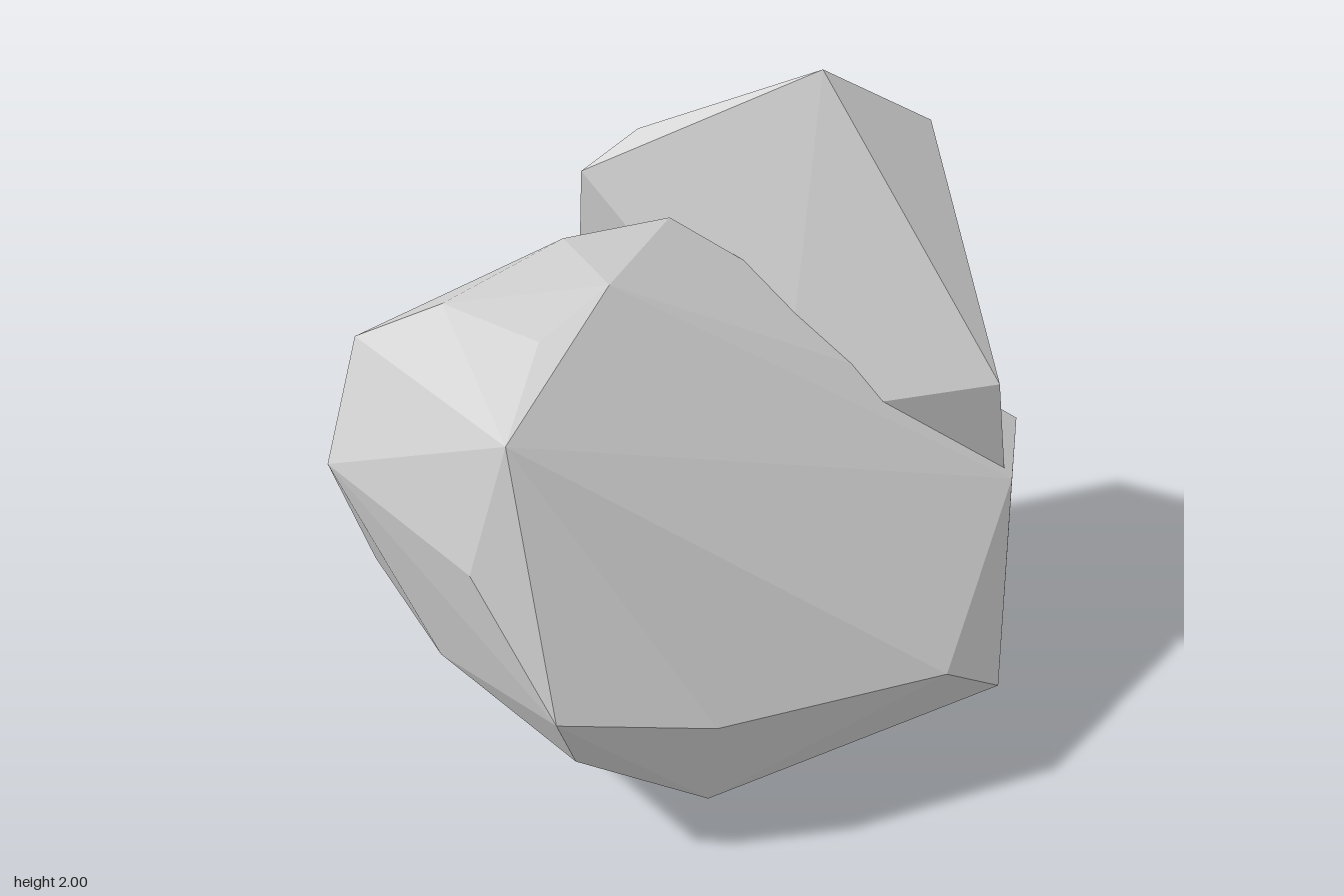
import * as THREE from 'three';
import { ConvexGeometry } from 'three/addons/geometries/ConvexGeometry.js';

const stone = new THREE.MeshStandardMaterial({ color: 0xcccccc, flatShading: true });

// A faceted chunk of stone spanned by its outermost corners
function chunk(name, corners) {
  const points = corners.map((c) => new THREE.Vector3(...c));
  const mesh = new THREE.Mesh(new ConvexGeometry(points), stone);
  mesh.name = name;
  return mesh;
}

export function createModel() {
  const group = new THREE.Group();
  group.name = 'rock';

  // Broad body with a front face that leans back
  group.add(chunk('body', [
    // underside
    [0.14, 0, -0.04], [-0.32, 0.2, 0.48], [-0.38, 0.21, 0.05], [0.62, 0.28, 0.15],
    // front
    [0.55, 0.33, 0.73], [0.3, 0.51, 0.76], [0.07, 0.58, 0.64], [-0.37, 0.54, 0.58], [-0.02, 1.02, 0.4], [0.75, 0.86, 0.53],
    // right-hand flank
    [-0.67, 0.43, 0.35], [-0.76, 0.63, 0.4], [-0.8, 0.58, -0.1], [-0.84, 1, 0.15], [-0.73, 1.36, 0.18], [-0.93, 1.1, -0.4],
    // shoulder
    [-0.76, 1.39, -0.5], [-0.6, 1.52, -0.3], [-0.5, 1.5, 0], [-0.23, 1.61, -0.27], [-0.26, 1.58, -0.02],
    [0.1, 1.59, -0.23], [0.33, 1.33, 0.06],
    // back
    [-0.57, 1.1, -0.74], [-0.2, 0.97, -0.76], [0.08, 1, -0.68], [-0.69, 0.56, -0.64],
    // left-hand flank
    [0.74, 0.45, 0.5], [0.92, 0.72, 0.3], [0.89, 0.95, 0.4], [0.8, 0.87, -0.06], [0.66, 0.47, -0.14], [0.45, 0.56, -0.41],
  ]));

  // Fin rising on the left, set off from the body by a groove
  group.add(chunk('fin', [
    [0.46, 2, -0.02], [0.79, 1.8, 0.07], [0.64, 1.22, 0.55], [0.78, 1.55, -0.35],
    [0.51, 1.87, -0.2], [0.18, 1.75, -0.48], [0.05, 1.62, -0.58],
    [0.79, 1.22, 0.24], [0.78, 1.18, -0.17], [0.75, 0.86, 0.5],
    [0.55, 1.08, -0.4], [0.08, 0.98, -0.67], [0.45, 0.57, -0.4], [0.25, 1.05, 0.1],
  ]));

  return group;
}
